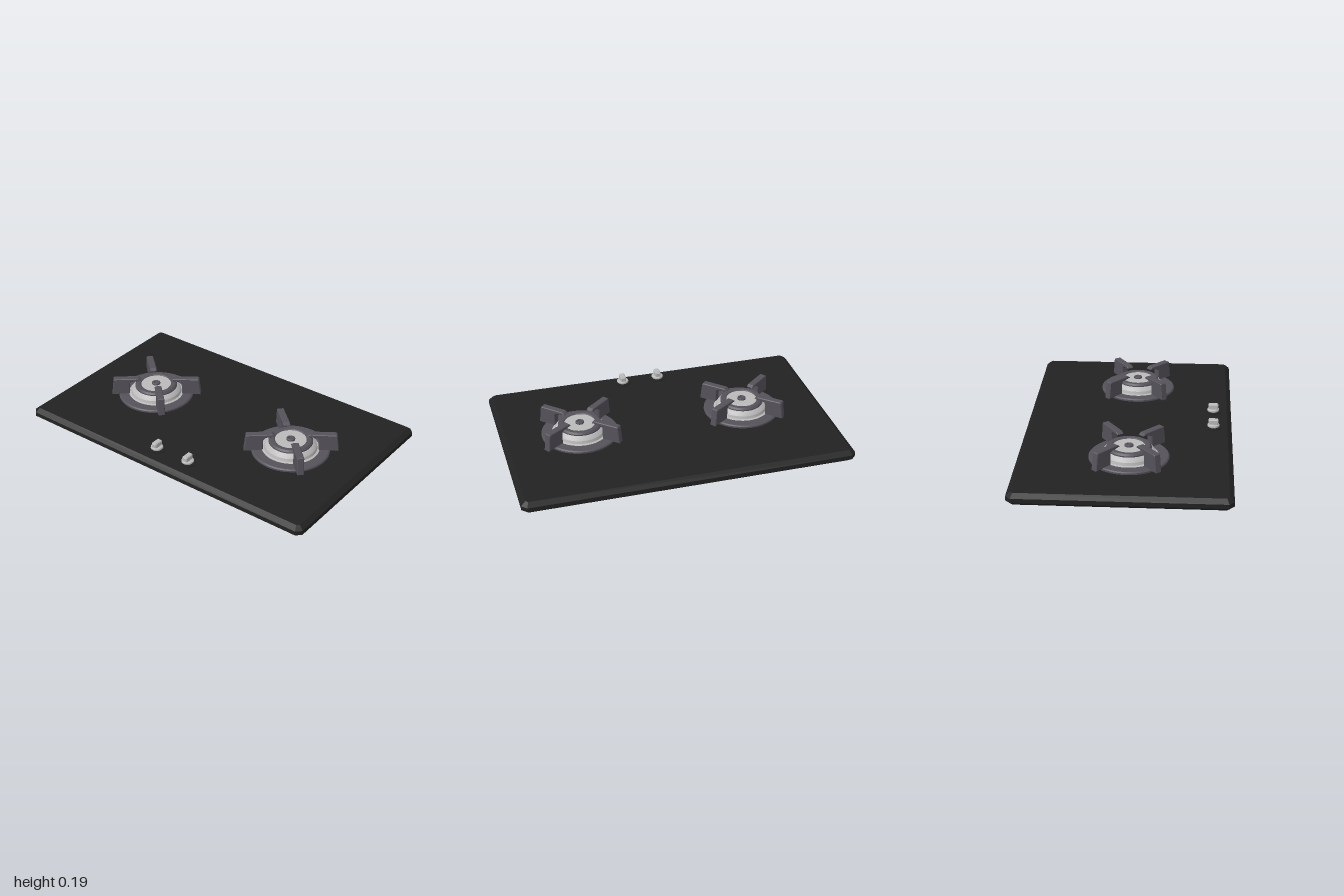
import * as THREE from 'three';
import { toCreasedNormals } from 'three/addons/utils/BufferGeometryUtils.js';

const makeMaterial = (name, color) => {
  const m = new THREE.MeshStandardMaterial({ color });
  m.name = name;
  return m;
};

export function createModel() {
  const glass = makeMaterial('black glass', 0x222222);
  const iron = makeMaterial('cast iron', 0x55525a);
  const steel = makeMaterial('brushed steel', 0xbababa);
  const model = new THREE.Group();
  model.name = 'gasHob';

  const add = (parent, name, geometry, material, x = 0, y = 0, z = 0) => {
    const mesh = new THREE.Mesh(geometry, material);
    mesh.name = name;
    mesh.position.set(x, y, z);
    parent.add(mesh);
    return mesh;
  };
  const polygon = (pts) => new THREE.Shape(pts.map(([x, y]) => new THREE.Vector2(x, y)));
  const lathe = (pts, segments = 48) => toCreasedNormals(
    new THREE.LatheGeometry(pts.map(([r, y]) => new THREE.Vector2(r, y)), segments), 0.4);

  // Worktop slab with chamfered corners and bevelled edges
  const bevel = 0.027, rim = 0.023, height = 0.072;
  const w = 1 - bevel, d = 0.622 - bevel, c = 0.014;
  const outline = polygon([
    [-w + c, -d], [w - c, -d], [w, -d + c], [w, d - c],
    [w - c, d], [-w + c, d], [-w, d - c], [-w, -d + c],
  ]);
  const slab = new THREE.ExtrudeGeometry(outline, {
    depth: height - 2 * rim, bevelEnabled: true, bevelSegments: 1,
    bevelSize: bevel, bevelThickness: rim,
  });
  slab.rotateX(-Math.PI / 2);
  add(model, 'worktop', slab, glass, 0, rim, 0);

  // Shared burner geometries
  const baseRing = lathe([
    [0.16, 0.07], [0.233, 0.07], [0.233, 0.082], [0.226, 0.088],
    [0.172, 0.088], [0.16, 0.08], [0.16, 0.07],
  ]);
  const dish = lathe([
    [0.176, 0.086], [0.158, 0.091], [0.154, 0.108], [0.142, 0.124], [0.126, 0.134],
  ]);
  const flameRing = lathe([
    [0.09, 0.128], [0.131, 0.13], [0.131, 0.138], [0.122, 0.148],
    [0.1, 0.148], [0.092, 0.142], [0.09, 0.128],
  ]);
  const disc = lathe([[0.094, 0.13], [0.094, 0.143], [0, 0.143]]);
  const cap = lathe([
    [0.026, 0.14], [0.026, 0.151], [0.022, 0.154], [0.013, 0.154], [0.011, 0.149], [0, 0.149],
  ], 24);

  // Pan support: upright leg with a hooked finger, drawn as (radius, height)
  const arm = (reach) => {
    const shape = polygon([
      [0.165, 0.082], [reach, 0.082], [reach - 0.012, 0.185], [reach - 0.018, 0.19],
      [0.11, 0.19], [0.094, 0.178], [0.094, 0.175], [0.13, 0.17], [0.155, 0.168], [0.165, 0.155],
    ]);
    const b = 0.004, width = 0.042;
    const g = new THREE.ExtrudeGeometry(shape, {
      depth: width - 2 * b, bevelEnabled: true, bevelSegments: 1,
      bevelSize: b, bevelThickness: b, bevelOffset: -b,
    });
    return g.translate(0, 0, b - width / 2);
  };
  const armEnds = [[0.235, -0.158], [-0.21, -0.186], [-0.212, 0.178], [0.2, 0.19]];

  // Two burners
  [['right', -0.495], ['left', 0.53]].forEach(([side, x]) => {
    const burner = new THREE.Group();
    burner.name = side + 'Burner';
    burner.position.set(x, 0, 0.024);
    model.add(burner);
    add(burner, 'baseRing', baseRing, iron);
    add(burner, 'dish', dish, steel);
    add(burner, 'flameRing', flameRing, iron);
    add(burner, 'burnerDisc', disc, steel);
    add(burner, 'igniterCap', cap, iron);
    armEnds.forEach(([ax, az], i) => {
      const support = add(burner, 'panSupport' + (i + 1), arm(Math.hypot(ax, az)), iron);
      support.rotation.y = Math.atan2(-az, ax);
    });
  });

  // Control knobs: thin collar, round steel base and a narrow finger grip
  const collar = new THREE.CylinderGeometry(0.05, 0.05, 0.004, 32);
  const knobBase = lathe([[0, 0.09], [0.032, 0.09], [0.037, 0.096], [0.036, 0.104], [0.03, 0.108], [0, 0.108]], 32);
  const gripShape = polygon([
    [-0.029, 0.1], [0.029, 0.1], [0.031, 0.13], [0.026, 0.138], [-0.026, 0.138], [-0.031, 0.13],
  ]);
  const grip = new THREE.ExtrudeGeometry(gripShape, {
    depth: 0.024, bevelEnabled: true, bevelSegments: 1,
    bevelSize: 0.005, bevelThickness: 0.005, bevelOffset: -0.005,
  }).translate(0, 0, -0.012).rotateY(Math.PI / 2);
  [['right', -0.086], ['left', 0.144]].forEach(([side, x]) => {
    const knob = new THREE.Group();
    knob.name = side + 'Knob';
    knob.position.set(x, 0, 0.51);
    model.add(knob);
    add(knob, 'collar', collar, glass, 0, 0.087, 0);
    add(knob, 'knobBase', knobBase, steel);
    add(knob, 'grip', grip, steel);
  });

  return model;
}
